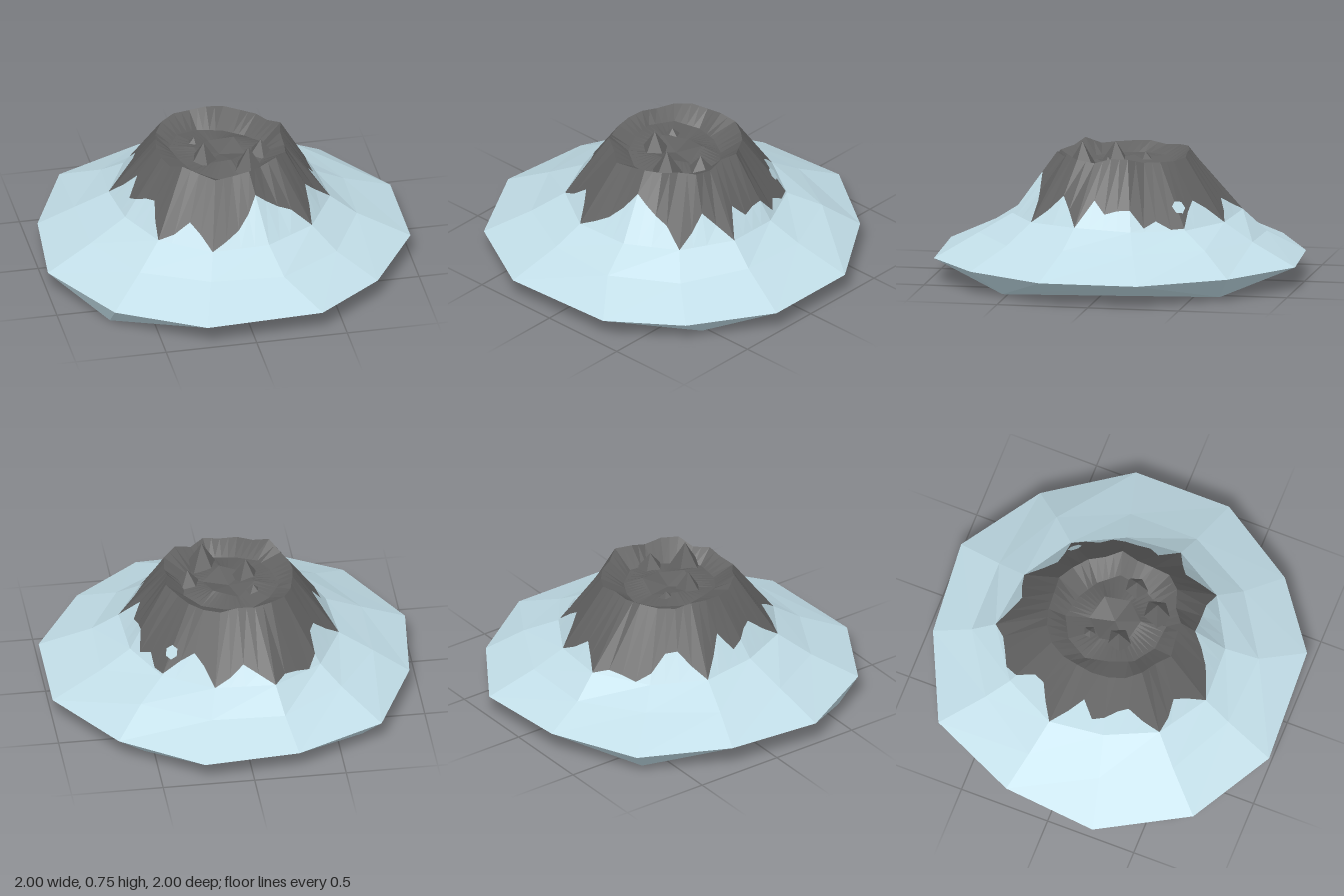
import * as THREE from 'three';

const SNOW = new THREE.MeshStandardMaterial({ color: 0xc3dfe9 });
const ROCK = new THREE.MeshStandardMaterial({ color: 0x626262 });
SNOW.name = 'snow';
ROCK.name = 'rock';

const COLS = 48;
const V = (x, y, z) => new THREE.Vector3(x, y, z);

let seed = 7;
const jitter = (amount) => {
  seed = (seed * 16807) % 2147483647;
  return (seed / 2147483647 - 0.5) * 2 * amount;
};

// ring of points around the y axis, starting at 15 degrees and turning from +x to +z
const makeRing = (n, radius, height) =>
  Array.from({ length: n }, (_, i) => {
    const a = Math.PI / 12 + (i / n) * Math.PI * 2;
    const r = radius(i);
    return V(Math.cos(a) * r, height(i), Math.sin(a) * r);
  });

// point on a ring, u in 0..1, along its straight edges
const sample = (ring, u) => {
  const f = (u - Math.floor(u)) * ring.length;
  const i = Math.floor(f + 1e-6) % ring.length;
  return ring[i].clone().lerp(ring[(i + 1) % ring.length], Math.max(0, f - Math.floor(f + 1e-6)));
};
const resample = (ring) => Array.from({ length: COLS }, (_, i) => sample(ring, i / COLS));

// faceted triangles between two rings of equal length
const strip = (a, b) => {
  const pts = [];
  const n = a.length;
  for (let i = 0; i < n; i++) {
    const j = (i + 1) % n;
    pts.push(a[i], b[i], a[j], a[j], b[i], b[j]);
  }
  return pts;
};

const mesh = (name, pts, material) => {
  const geometry = new THREE.BufferGeometry().setFromPoints(pts);
  geometry.computeVertexNormals();
  const m = new THREE.Mesh(geometry, material);
  m.name = name;
  return m;
};

export function createModel() {
  const group = new THREE.Group();
  group.name = 'volcanoIsland';

  // sharp outer rim of the ice
  const rim = [
    [1, 0.27], [0.73, 0.7], [0.37, 0.97], [-0.27, 1], [-0.73, 0.74], [-1, 0.26],
    [-0.95, -0.26], [-0.73, -0.74], [-0.25, -0.96], [0.27, -1], [0.7, -0.71], [1, -0.27],
  ].map(([x, z]) => V(x, 0.125, z));

  // rings up the slope
  const shoulderR = [0.6, 0.6, 0.6, 0.61, 0.6, 0.57, 0.6, 0.62, 0.65, 0.61, 0.6, 0.58];
  const slope = makeRing(12, () => 0.77 + jitter(0.025), () => 0.245 + jitter(0.012));
  const shoulder = makeRing(12, (i) => shoulderR[i], () => 0.345 + jitter(0.015));
  const crest = makeRing(24, () => 0.355 + jitter(0.025), () => 0.682 + jitter(0.025));

  // jagged snow line, as a fraction of the way from shoulder to crest
  const snowLine = [
    0, 0.25, 0.45, 0.2, 0, 0.3, 0.42, 0.55, 0.68, 0.45, 0.25, 0.12,
    0, 0.2, 0.33, 0.12, 0, 0.2, 0.45, 0.4, 0.3, 0.22, 0.52, 0.25,
    0, 0.2, 0.42, 0.4, 0.15, 0, 0.05, 0.08, 0, 0.15, 0.28, 0.12,
    0, 0.25, 0.4, 0.25, 0.03, 0.02, 0.15, 0.05, 0.3, 0.28, 0.22, 0.42,
  ];
  const low = resample(shoulder);
  const top = resample(crest);
  const line = low.map((p, i) => p.clone().lerp(top[i], snowLine[i]));

  group.add(mesh('lowerSnow', [...strip(rim, slope), ...strip(slope, shoulder)], SNOW));
  group.add(mesh('upperSnow', strip(low, line), SNOW));
  group.add(mesh('rockSlope', strip(line, top), ROCK));

  // crater bowl
  const wall = makeRing(12, () => 0.26 + jitter(0.02), () => 0.615 + jitter(0.02));
  const floor = makeRing(6, () => 0.14, (i) => 0.61 + (i % 2) * 0.03);
  const centre = Array.from({ length: 6 }, () => V(0, 0.6, 0));
  group.add(mesh('craterBowl', [
    ...strip(top, resample(wall)), ...strip(resample(wall), resample(floor)), ...strip(floor, centre),
  ], ROCK));

  // crags on the crater floor: x, z, peak height, radius
  [
    [0.12, 0.2, 0.75, 0.11], [0.22, 0.04, 0.69, 0.1], [-0.1, 0.06, 0.72, 0.1], [-0.12, -0.1, 0.66, 0.1],
  ].forEach(([x, z, peak, r], i) => {
    const crag = new THREE.Mesh(new THREE.ConeGeometry(r, peak - 0.57, 5).toNonIndexed(), ROCK);
    crag.geometry.computeVertexNormals();
    crag.name = 'crag' + (i + 1);
    crag.position.set(x, (peak + 0.57) / 2, z);
    crag.rotation.y = i * 1.3;
    group.add(crag);
  });

  // small snow patch lying on the rock at the back
  const [c, e, up] = [sample(shoulder, 299 / 360), sample(shoulder, 301 / 360), sample(crest, 299 / 360)];
  const normal = up.clone().sub(c).cross(e.sub(c)).normalize();
  const patch = new THREE.Mesh(new THREE.CircleGeometry(0.04, 6), SNOW);
  patch.name = 'snowPatch';
  patch.position.copy(c.lerp(up, 0.33)).addScaledVector(normal, 0.008);
  patch.quaternion.setFromUnitVectors(V(0, 0, 1), normal);
  group.add(patch);

  // underside: four base corners, each fanned to a run of the rim
  const corners = [V(0.69, 0, 0.53), V(-0.73, 0, 0.61), V(-0.64, 0, -0.64), V(0.55, 0, -0.64)];
  const starts = [11, 3, 6, 8];
  const under = [corners[0], corners[2], corners[3]];
  starts.forEach((start, k) => {
    const next = (k + 1) % 4;
    const count = (starts[next] - start + 12) % 12;
    for (let n = 0; n < count; n++) {
      under.push(rim[(start + n) % 12], rim[(start + n + 1) % 12], corners[k]);
    }
    under.push(rim[starts[next]], corners[next], corners[k]);
  });
  group.add(mesh('underside', under, SNOW));
  group.add(mesh('rockBase', corners.slice(0, 3), ROCK));

  return group;
}
